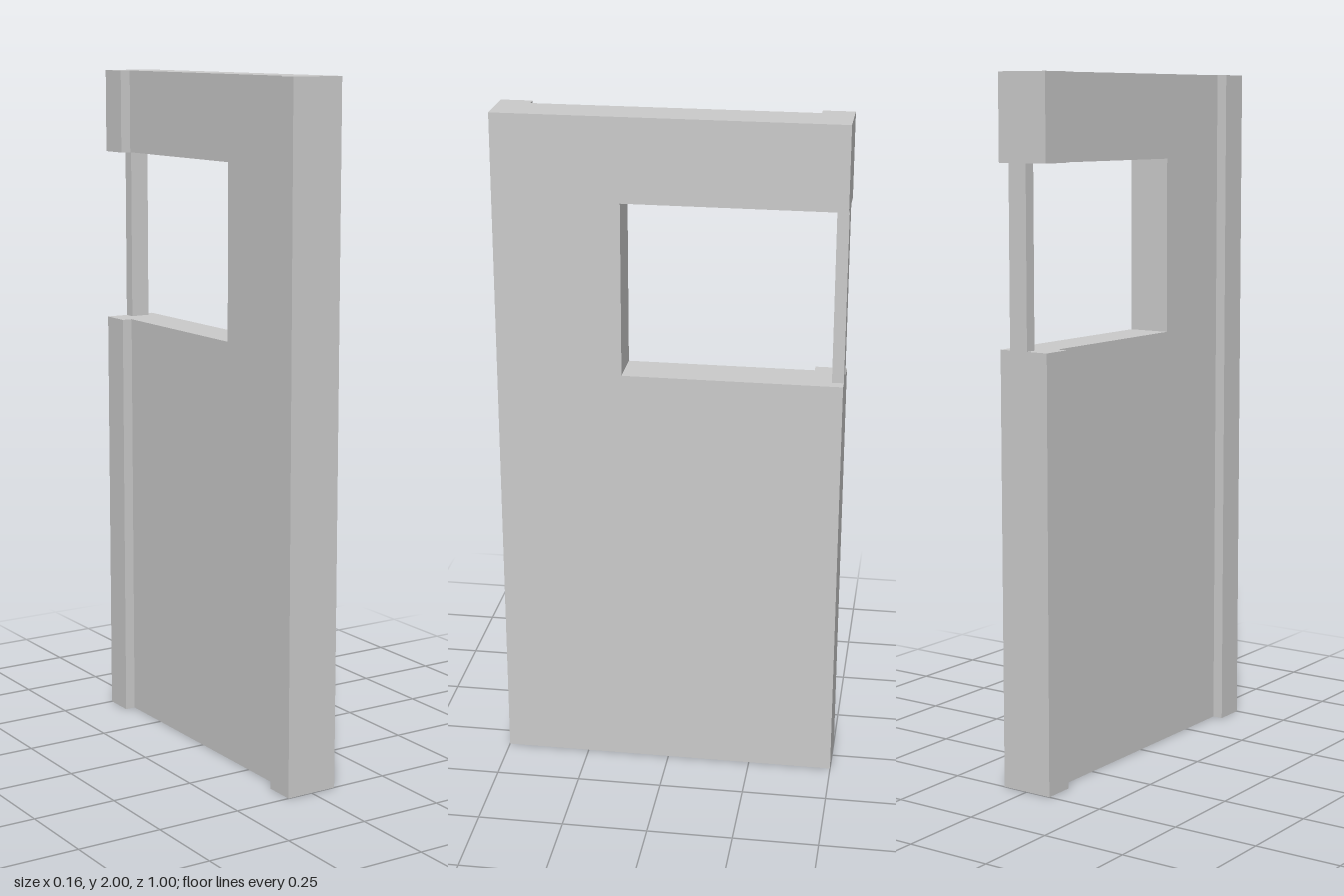
import * as THREE from 'three';

const HALF_X = 0.079, HALF_Z = 0.5, HEIGHT = 2;
const RECESS_X = -0.048;               // recessed face of the panel
const STILE_Z = 0.409;                 // inner edge of the raised edge strips
const WIN = { z: 0.135, bottom: 1.247, top: 1.756 };

export function createModel() {
  const group = new THREE.Group();
  group.name = 'doorPanel';
  const material = new THREE.MeshStandardMaterial({ color: 0xcccccc, flatShading: true });

  const add = (name, geometry) => {
    const mesh = new THREE.Mesh(geometry, material);
    mesh.name = name;
    group.add(mesh);
  };
  // Box given by its minimum and maximum corners
  const addBox = (name, [x0, y0, z0], [x1, y1, z1]) =>
    add(name, new THREE.BoxGeometry(x1 - x0, y1 - y0, z1 - z0)
      .translate((x0 + x1) / 2, (y0 + y1) / 2, (z0 + z1) / 2));

  // Panel: side outline (z, y) with the window cut in from the back edge
  const outline = new THREE.Shape([
    [-HALF_Z, 0], [HALF_Z, 0], [HALF_Z, HEIGHT], [-HALF_Z, HEIGHT],
    [-HALF_Z, WIN.top], [WIN.z, WIN.top], [WIN.z, WIN.bottom], [-HALF_Z, WIN.bottom],
  ].map(([z, y]) => new THREE.Vector2(z, y)));
  add('panel', new THREE.ExtrudeGeometry(outline, { depth: HALF_X - RECESS_X, bevelEnabled: false })
    .rotateY(-Math.PI / 2).translate(HALF_X, 0, 0));

  // Raised edge strips; the back one is interrupted by the window
  addBox('frontStrip', [-HALF_X, 0, STILE_Z], [RECESS_X, HEIGHT, HALF_Z]);
  addBox('backLowerStrip', [-HALF_X, 0, -HALF_Z], [RECESS_X, WIN.bottom, -STILE_Z]);
  addBox('backUpperStrip', [-HALF_X, WIN.top, -HALF_Z], [RECESS_X, HEIGHT, -STILE_Z]);

  // Thin post closing the open side of the window
  addBox('windowPost', [-0.012, WIN.bottom, -HALF_Z], [0.046, WIN.top, -0.466]);

  return group;
}
